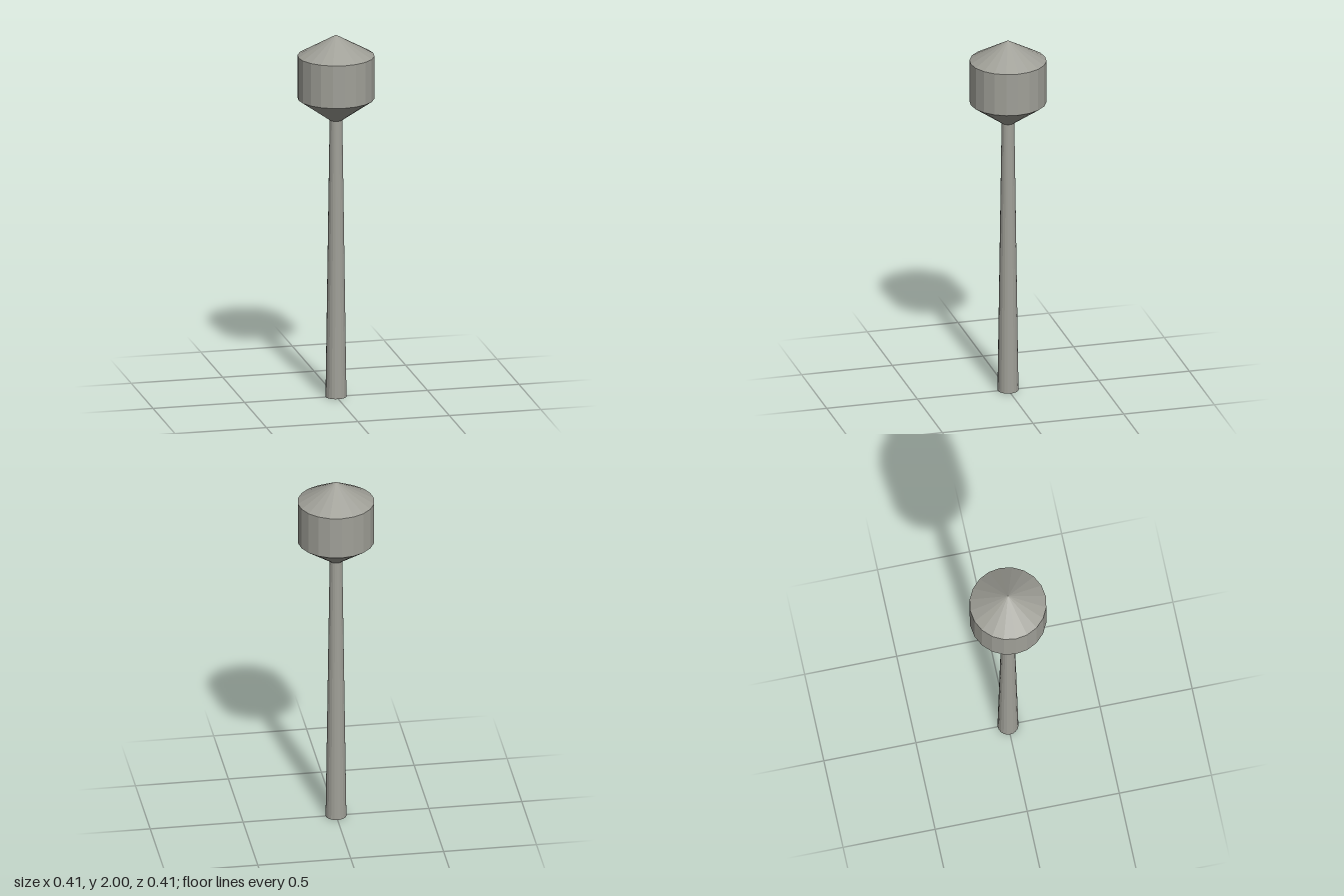
import * as THREE from 'three';

const SIDES = 20;

export function createModel() {
  const concrete = new THREE.MeshStandardMaterial({
    color: 0xa0a098, flatShading: true, side: THREE.DoubleSide,
  });
  concrete.name = 'concrete grey';

  const model = new THREE.Group();
  model.name = 'waterTower';

  // Revolves a [radius, height] profile into a named faceted part
  const addPart = (name, profile) => {
    const points = profile.map(([r, y]) => new THREE.Vector2(r, y));
    const mesh = new THREE.Mesh(new THREE.LatheGeometry(points, SIDES), concrete);
    mesh.name = name;
    model.add(mesh);
  };

  // Tapering hollow column, open at the foot
  addPart('column', [[0.056, 0], [0.034, 1.53]]);
  // Funnel under the tank
  addPart('tankFunnel', [[0.034, 1.53], [0.205, 1.65]]);
  // Straight tank wall
  addPart('tankWall', [[0.205, 1.65], [0.205, 1.885]]);
  // Conical roof
  addPart('roof', [[0.205, 1.885], [0, 2]]);

  return model;
}
